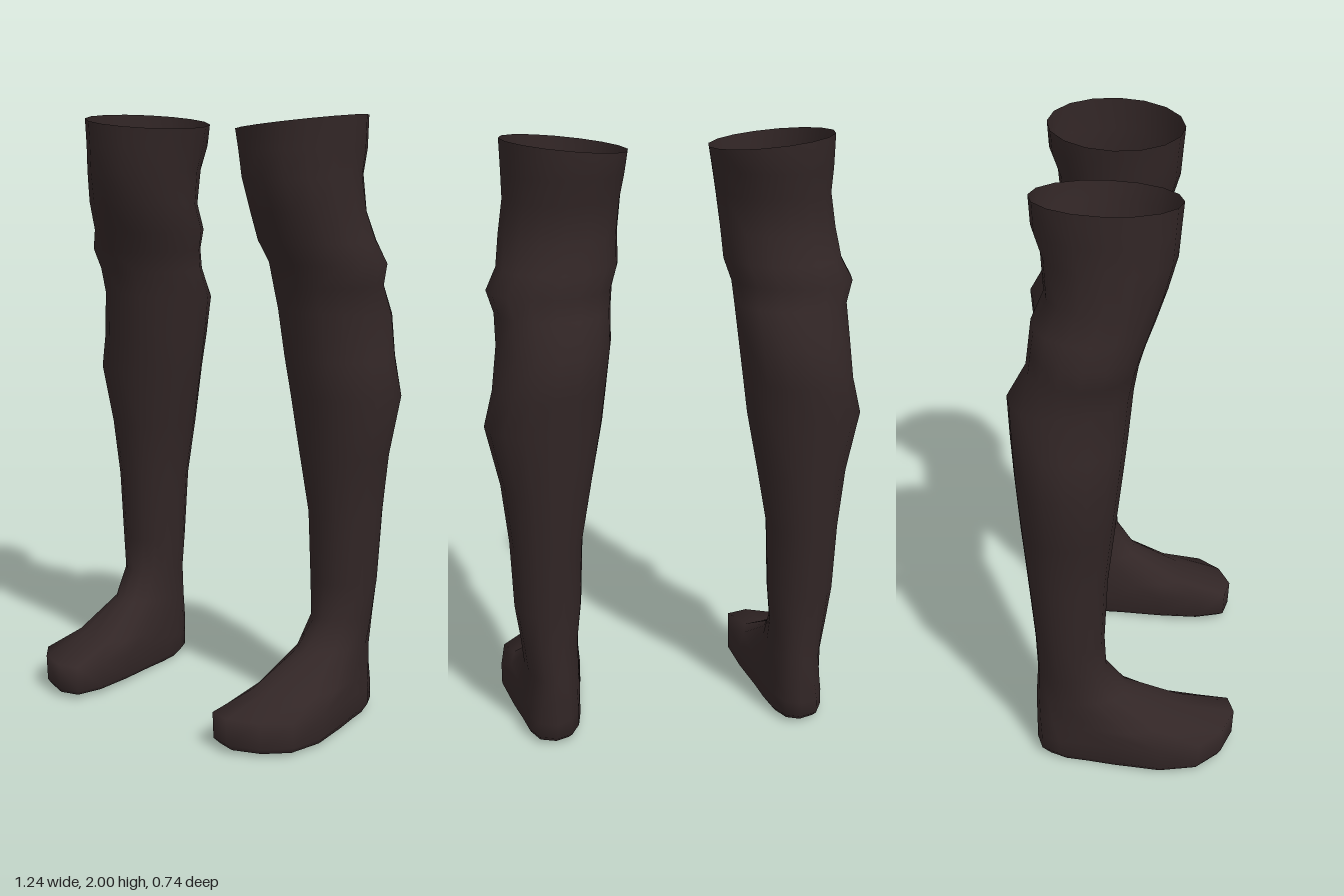
import * as THREE from 'three';

const SIDES = 16;

// Rings from cuff to sole: inner x, outer x, front y, front z, back y, back z, foot-shape weight
const RINGS = [
  [0.13, 0.535, 1.965, 0.165, 1.98, -0.29, 0],
  [0.14, 0.532, 1.89, 0.158, 1.89, -0.285, 0],
  [0.155, 0.53, 1.8, 0.15, 1.81, -0.258, 0],
  [0.168, 0.547, 1.7, 0.12, 1.69, -0.25, 0],
  [0.172, 0.56, 1.6, 0.085, 1.6, -0.29, 0],
  [0.195, 0.595, 1.53, 0.055, 1.53, -0.298, 0],
  [0.202, 0.573, 1.46, 0.035, 1.46, -0.308, 0],
  [0.207, 0.573, 1.38, 0.02, 1.35, -0.37, 0],
  [0.225, 0.59, 1.22, 0.003, 1.22, -0.363, 0],
  [0.24, 0.62, 1.1, -0.012, 1.1, -0.353, 0],
  [0.277, 0.575, 0.9, -0.037, 0.9, -0.34, 0],
  [0.312, 0.553, 0.7, -0.062, 0.7, -0.322, 0],
  [0.32, 0.543, 0.47, -0.075, 0.47, -0.304, 0],
  [0.333, 0.525, 0.35, -0.07, 0.34, -0.3, 0],
  [0.325, 0.518, 0.255, 0.0, 0.23, -0.308, 0.2],
  [0.3, 0.55, 0.155, 0.19, 0.14, -0.31, 0.75],
  [0.285, 0.575, 0.12, 0.365, 0.075, -0.31, 1],
  [0.285, 0.575, 0.03, 0.36, 0.025, -0.31, 1],
  [0.305, 0.56, 0.012, 0.345, 0.0, -0.28, 1],
];

// Unit foot outline, from the toe round the outer side to the heel and back
const FOOT = [
  [-0.35, 1], [0.35, 0.88], [0.86, 0.65], [1, 0.26],
  [0.8, -0.24], [0.65, -0.53], [0.55, -0.76], [0.34, -0.94],
  [-0.07, -1], [-0.41, -0.94], [-0.62, -0.76], [-0.72, -0.53],
  [-0.79, -0.24], [-0.93, 0.2], [-1, 0.65], [-0.85, 0.94],
];

function ringPoints(ring, side, tilt) {
  const [xIn, xOut, yF, zF, yB, zB, w] = ring;
  return FOOT.map(([fu, fv], k) => {
    const a = (k / SIDES) * Math.PI * 2;
    const u = THREE.MathUtils.lerp(Math.sin(a), fu, w);
    const v = THREE.MathUtils.lerp(Math.cos(a), fv, w);
    const t = (v + 1) / 2;
    return [
      side * ((xIn + xOut) / 2 + (u * (xOut - xIn)) / 2),
      THREE.MathUtils.lerp(yB, yF, t) + tilt * u,
      THREE.MathUtils.lerp(zB, zF, t),
    ];
  });
}

function makeGeometry(points, faces, side) {
  const geo = new THREE.BufferGeometry();
  geo.setAttribute('position', new THREE.Float32BufferAttribute(points.flat(), 3));
  geo.setIndex(faces.flatMap(([a, b, c]) => (side > 0 ? [a, b, c] : [a, c, b])));
  geo.computeVertexNormals();
  return geo;
}

// Shaft and foot in one continuous skin, open at the cuff
function bootUpper(side) {
  const points = RINGS.flatMap((r, i) => ringPoints(r, side, i === 0 ? 0.022 : 0));
  const faces = [];
  for (let i = 0; i < RINGS.length - 1; i++) {
    for (let k = 0; k < SIDES; k++) {
      const n = (k + 1) % SIDES;
      const a = i * SIDES + k, b = i * SIDES + n;
      faces.push([a, a + SIDES, b], [b, a + SIDES, b + SIDES]);
    }
  }
  return makeGeometry(points, faces, side);
}

// Flat underside closing the last ring
function bootSole(side) {
  const points = ringPoints(RINGS[RINGS.length - 1], side, 0);
  points.push([side * 0.43, 0.002, 0.03]);
  const faces = [];
  for (let k = 0; k < SIDES; k++) faces.push([k, SIDES, (k + 1) % SIDES]);
  return makeGeometry(points, faces, side);
}

export function createModel() {
  const leather = new THREE.MeshStandardMaterial({ color: 0x322626, side: THREE.DoubleSide });
  leather.name = 'dark brown leather';

  const model = new THREE.Group();
  model.name = 'tallBoots';
  for (const [side, label] of [[1, 'left'], [-1, 'right']]) {
    const boot = new THREE.Group();
    boot.name = label + 'Boot';
    const upper = new THREE.Mesh(bootUpper(side), leather);
    upper.name = label + 'Upper';
    const sole = new THREE.Mesh(bootSole(side), leather);
    sole.name = label + 'Sole';
    boot.add(upper, sole);
    model.add(boot);
  }
  return model;
}
